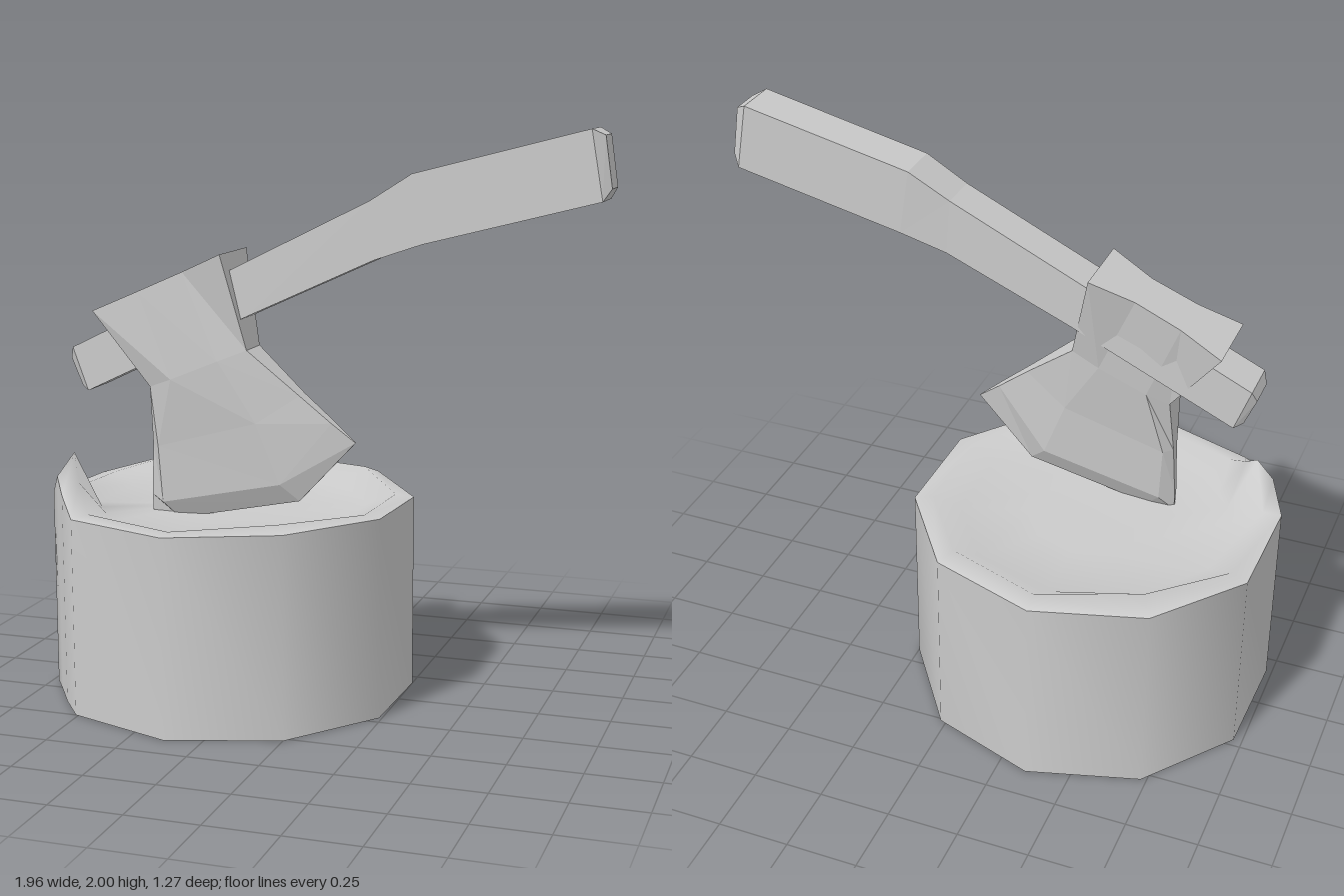
import * as THREE from 'three';

// Skin a list of equal-length loops; optionally close the first and last loop
function loft(rings, { capStart = false, capEnd = false, flat = false } = {}) {
  const n = rings[0].length, index = [];
  const quad = (a, b, c, d) => index.push(a, b, c, a, c, d);
  for (let r = 0; r < rings.length - 1; r++)
    for (let i = 0; i < n; i++) {
      const j = (i + 1) % n, a = r * n, b = a + n;
      quad(a + i, b + i, b + j, a + j);
    }
  const last = (rings.length - 1) * n;
  for (let i = 0; i < n / 2 - 1; i++) {
    const q = [i, i + 1, n - 2 - i, n - 1 - i];
    if (capStart) quad(...q);
    if (capEnd) quad(...q.map((k) => last + k).reverse());
  }
  let geo = new THREE.BufferGeometry();
  geo.setAttribute('position', new THREE.Float32BufferAttribute(rings.flat(2), 3));
  geo.setIndex(index);
  if (flat) geo = geo.toNonIndexed();
  geo.computeVertexNormals();
  return geo;
}

function part(name, geo, options = {}) {
  const mesh = new THREE.Mesh(geo, new THREE.MeshStandardMaterial({ color: 0xcccccc, ...options }));
  mesh.name = name;
  return mesh;
}

// Chopping block: x, z, outer rim height, inner rim height
const RIM = [
  [-0.97, -0.22, 0.69, 0.70], [-0.98, 0.18, 0.70, 0.71],
  [-0.92, 0.27, 0.78, 0.865], [-0.85, 0.38, 0.74, 0.78],
  [-0.76, 0.50, 0.69, 0.70], [-0.38, 0.635, 0.69, 0.695],
  [0.00, 0.52, 0.70, 0.72], [0.24, 0.21, 0.70, 0.705],
  [0.25, -0.18, 0.69, 0.70], [0.02, -0.51, 0.70, 0.725],
  [-0.35, -0.64, 0.70, 0.72], [-0.73, -0.53, 0.70, 0.75],
];

function createStump() {
  const cx = -0.365;
  const ring = (s, height) => RIM.map((p) => [cx + (p[0] - cx) * s, height(p), p[1] * s]);
  const stump = new THREE.Group();
  stump.name = 'stump';
  const outer = ring(1, (p) => p[2]);
  // Open-bottomed bark wall
  stump.add(part('stumpWall', loft([outer, ring(1, () => 0)]), { side: THREE.DoubleSide }));
  // Dished top with a raised, splintered rim
  const top = [ring(0.35, () => 0.66), ring(0.75, () => 0.665), ring(0.9, (p) => p[3]), outer];
  stump.add(part('stumpTop', loft(top, { capStart: true }), { side: THREE.DoubleSide }));
  return stump;
}

// Handle stations: top x, top y, bottom x, bottom y, centre z, half width
function createHandle() {
  const stations = [
    [-0.88, 1.195, -0.84, 1.10, 0.152, 0.06],
    [-0.865, 1.235, -0.81, 1.085, 0.152, 0.08],
    [-0.30, 1.515, -0.23, 1.365, 0.126, 0.074],
    [0.19, 1.76, 0.205, 1.565, 0.105, 0.074],
    [0.33, 1.85, 0.365, 1.62, 0.09, 0.079],
    [0.91, 2.0, 0.95, 1.77, 0.064, 0.08],
    [0.95, 1.98, 0.975, 1.81, 0.062, 0.055],
  ];
  const rings = stations.map(([tx, ty, bx, by, z, h]) => [
    [bx, by, z - h], [bx, by, z + h], [tx, ty, z + h], [tx, ty, z - h],
  ]);
  return part('handle', loft(rings, { capStart: true, capEnd: true, flat: true }), { flatShading: true });
}

// Axe head rows from poll to cutting edge: x, y, half thickness
function createAxeHead() {
  const rows = [
    [[-0.77, 1.37, 0.13], [-0.62, 1.437, 0.095], [-0.46, 1.508, 0.09], [-0.31, 1.575, 0.13]],
    [[-0.58, 1.11, 0.065], [-0.5, 1.14, 0.08], [-0.33, 1.21, 0.08], [-0.23, 1.25, 0.065]],
    [[-0.59, 0.9, 0.02], [-0.56, 0.9, 0.05], [-0.2, 1.0, 0.055], [-0.05, 1.1, 0.03]],
    [[-0.6, 0.72, 0.01], [-0.55, 0.7, 0.038], [-0.12, 0.79, 0.038], [0.06, 1.01, 0.02]],
    [[-0.6, 0.64, 0.003], [-0.5, 0.64, 0.003], [-0.06, 0.73, 0.003], [0.14, 0.945, 0.003]],
  ];
  const midZ = (y) => 0.163 - 0.08 * Math.max(0, y - 1.1);
  const side = (row, s) => row.map(([x, y, h]) => [x, y, midZ(y) + s * h]);
  const rings = rows.map((row) => [...side(row, 1), ...side(row, -1).reverse()]);
  return part('axeHead', loft(rings, { capStart: true, capEnd: true, flat: true }), { flatShading: true });
}

export function createModel() {
  const model = new THREE.Group();
  model.name = 'axeInStump';
  const axe = new THREE.Group();
  axe.name = 'axe';
  axe.add(createHandle(), createAxeHead());
  model.add(createStump(), axe);
  return model;
}
